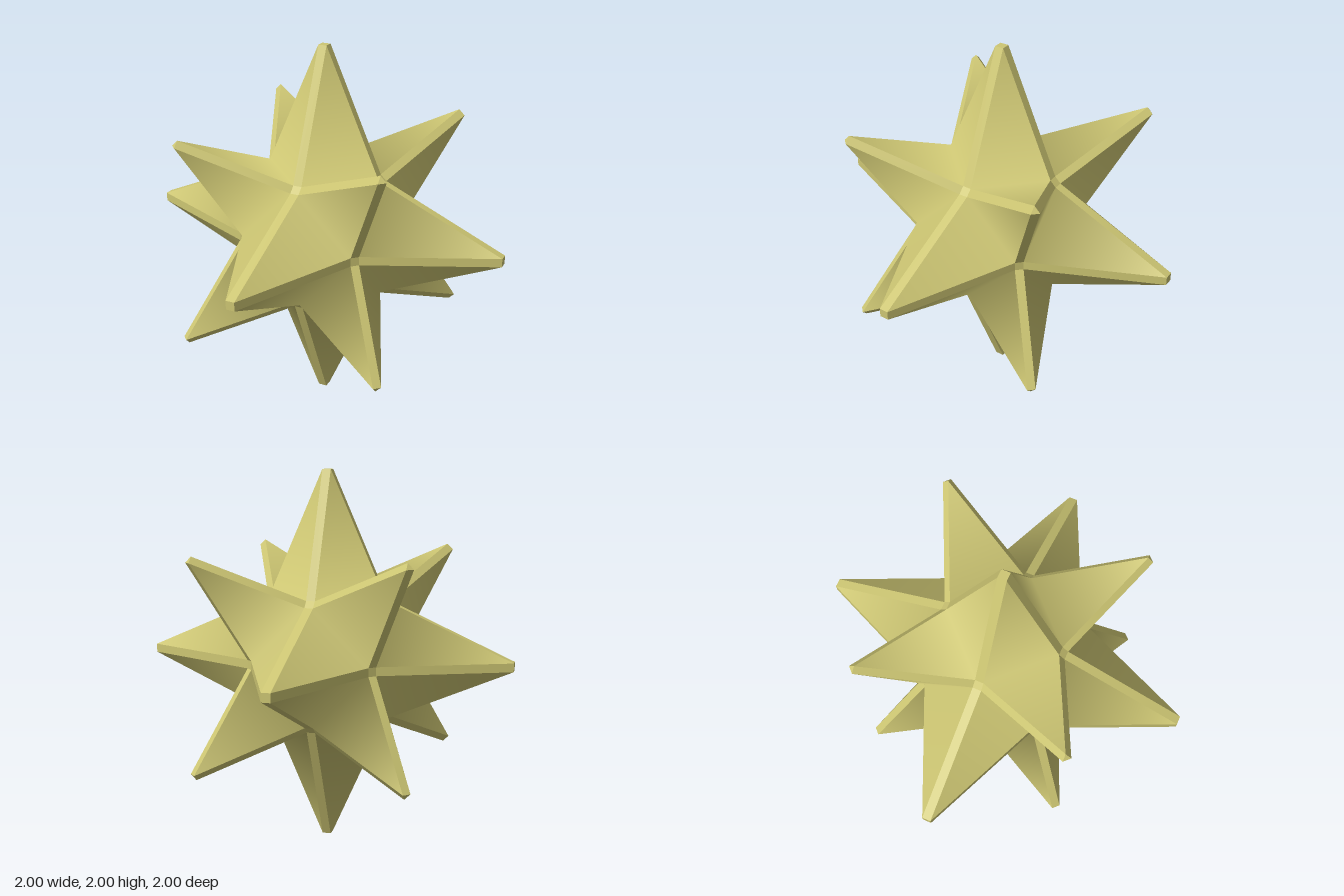
import * as THREE from 'three';

const W = 0.023;                 // half width of the bevelled ridges
const HI = 0.345, LO = 0.313;    // valley node, toward / away from the face's axis
const CHI = 0.578, CLO = 0.547;  // corner tip, toward / away from the face's axis

// Point with value a on axis k, b on the next axis and c on the one after.
function at(k, a, b, c, s) {
  const p = [0, 0, 0];
  p[k] = a * s[k];
  p[(k + 1) % 3] = b * s[(k + 1) % 3];
  p[(k + 2) % 3] = c * s[(k + 2) % 3];
  return new THREE.Vector3(...p);
}

// Mesh from separate polygons, each turned outward and fanned from its first corner.
// Folded quads get soft normals across their own fold only.
function polygonMesh(name, polygons, material) {
  const positions = [], index = [];
  for (const poly of polygons) {
    const [a, b, c] = poly;
    const normal = b.clone().sub(a).cross(c.clone().sub(a));
    const pts = normal.dot(a.clone().add(b).add(c)) > 0 ? poly : [a, ...poly.slice(1).reverse()];
    const base = positions.length / 3;
    pts.forEach((p) => positions.push(p.x, p.y, p.z));
    for (let i = 1; i < pts.length - 1; i++) index.push(base, base + i, base + i + 1);
  }
  const geometry = new THREE.BufferGeometry();
  geometry.setAttribute('position', new THREE.Float32BufferAttribute(positions, 3));
  geometry.setIndex(index);
  geometry.computeVertexNormals();
  const mesh = new THREE.Mesh(geometry, material);
  mesh.name = name;
  return mesh;
}

export function createModel() {
  const material = new THREE.MeshStandardMaterial({ color: 0xcdc673 });
  const faces = [], ridges = [], tips = [], nodes = [];
  const signs = [1, -1];

  for (const x of signs) for (const y of signs) for (const z of signs) {
    const s = [x, y, z];
    for (let k = 0; k < 3; k++) {
      const i = (k + 1) % 3;
      const tip = at(k, 1, W, W, s);
      const nodeA = at(k, HI, LO, W, s);
      const nodeB = at(k, HI, W, LO, s);
      const corner = at(k, CHI, CLO, CLO, s);
      // folded face shared by an axis spike and a corner spike
      faces.push([nodeA, tip, nodeB, corner]);
      // ridge from the corner tip down to the node between axes k and i
      ridges.push([corner, at(i, CHI, CLO, CLO, s), at(i, HI, W, LO, s), nodeA]);
    }
    // triangular tip of the corner spike
    tips.push([0, 1, 2].map((k) => at(k, CHI, CLO, CLO, s)));
  }

  for (let k = 0; k < 3; k++) for (const a of signs) {
    // square tip of the axis spike
    tips.push([[W, W], [W, -W], [-W, -W], [-W, W]].map(([b, c]) => at(k, a, b, c, [1, 1, 1])));
    for (const b of signs) {
      // the axis spike's ridges toward its four nodes
      ridges.push([at(k, a, b * W, W, [1, 1, 1]), at(k, a, b * W, -W, [1, 1, 1]),
        at(k, a * HI, b * LO, -W, [1, 1, 1]), at(k, a * HI, b * LO, W, [1, 1, 1])]);
      ridges.push([at(k, a, W, b * W, [1, 1, 1]), at(k, a, -W, b * W, [1, 1, 1]),
        at(k, a * HI, -W, b * LO, [1, 1, 1]), at(k, a * HI, W, b * LO, [1, 1, 1])]);
      // small flat where four ridges meet
      nodes.push([[HI, LO, W], [HI, LO, -W], [LO, HI, -W], [LO, HI, W]]
        .map(([p, q, r]) => at(k, a * p, b * q, r, [1, 1, 1])));
    }
  }

  const star = new THREE.Group();
  star.name = 'spikedStar';
  star.add(
    polygonMesh('spikeFaces', faces, material),
    polygonMesh('spikeRidges', ridges, material),
    polygonMesh('spikeTips', tips, material),
    polygonMesh('ridgeNodes', nodes, material),
  );
  star.position.y = 1;

  const model = new THREE.Group();
  model.add(star);
  return model;
}
